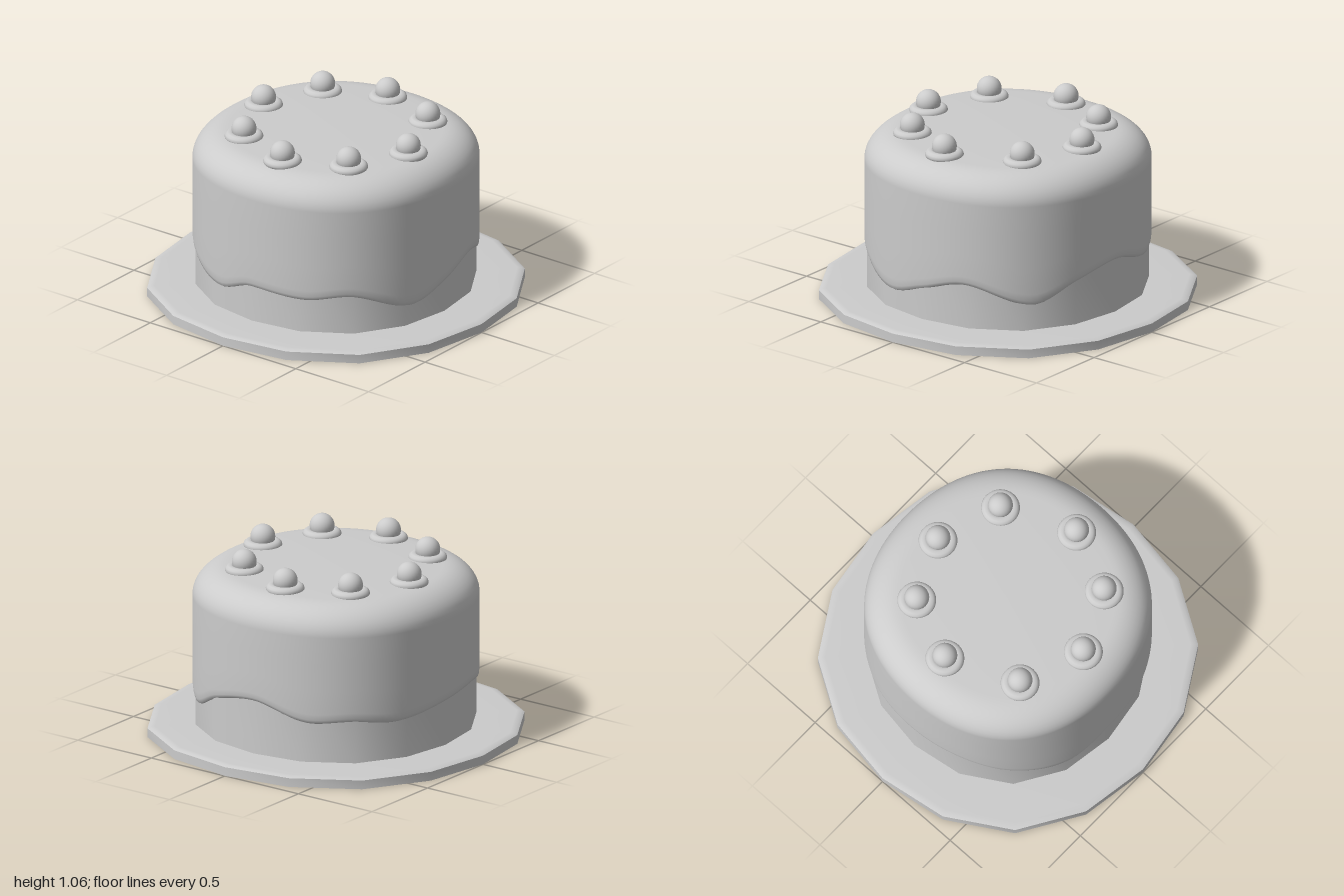
import * as THREE from 'three';
import { mergeVertices, toCreasedNormals } from 'three/addons/utils/BufferGeometryUtils.js';

const material = new THREE.MeshStandardMaterial({ color: 0xcccccc });
const SIDES = 16;

// Lathe with a slightly squarish outline; lift(y, angle) may move points up or down
function roundedLathe(points, segments, lift = (y) => y) {
  const geometry = new THREE.LatheGeometry(points.map(([r, y]) => new THREE.Vector2(r, y)), segments);
  const pos = geometry.attributes.position;
  for (let i = 0; i < pos.count; i++) {
    const x = pos.getX(i), z = pos.getZ(i);
    const angle = Math.atan2(x, z);
    const bulge = 1 + 0.0165 * (1 - Math.cos(4 * angle));
    pos.setXYZ(i, x * bulge, lift(pos.getY(i), angle), z * bulge);
  }
  geometry.deleteAttribute('uv');
  geometry.deleteAttribute('normal');
  return mergeVertices(geometry);
}

function part(name, geometry, parent) {
  const mesh = new THREE.Mesh(geometry, material);
  mesh.name = name;
  parent.add(mesh);
  return mesh;
}

// Height of the icing's wavy edge: [degrees from +z towards +x, y]
const EDGE = [
  [-180, 0.31], [-159, 0.33], [-135, 0.27], [-109, 0.19], [-90, 0.26], [-66, 0.245], [-48, 0.275], [-18.5, 0.17],
  [0, 0.235], [20, 0.305], [49, 0.205], [68, 0.305], [90, 0.36], [117, 0.28], [133, 0.295], [152, 0.272], [180, 0.31],
];

// Cubic Hermite through the edge points, wrapping round the cake
function edgeHeight(deg) {
  const n = EDGE.length - 1;
  const at = (i) => {
    const k = ((i % n) + n) % n;
    return [EDGE[k][0] + 360 * Math.floor(i / n), EDGE[k][1]];
  };
  let i = 0;
  while (i < n - 1 && EDGE[i + 1][0] <= deg) i++;
  const [a, b, c, d] = [at(i - 1), at(i), at(i + 1), at(i + 2)];
  const w = c[0] - b[0];
  const t = (deg - b[0]) / w;
  // Flat tangent at peaks and dips
  const slope = (p, q, r) => ((q[1] - p[1]) * (r[1] - q[1]) <= 0 ? 0 : (r[1] - p[1]) / (r[0] - p[0]));
  const m0 = slope(a, b, c) * w, m1 = slope(b, c, d) * w;
  const t2 = t * t, t3 = t2 * t;
  return (2 * t3 - 3 * t2 + 1) * b[1] + (t3 - 2 * t2 + t) * m0 + (3 * t2 - 2 * t3) * c[1] + (t3 - t2) * m1;
}

// Rounded icing shell; its wall is stretched down to the wavy edge
function icingGeometry() {
  const wallTop = 0.78, nominal = 0.25;
  const profile = [
    [0.72, 0.262], [0.735, 0.25], [0.746, 0.256], [0.752, 0.275], [0.756, 0.31],
    [0.756, 0.45], [0.756, 0.62], [0.756, wallTop],
  ];
  for (let i = 1; i <= 10; i++) {
    const a = (i / 10) * Math.PI / 2;
    profile.push([0.566 + 0.19 * Math.cos(a), wallTop + 0.16 * Math.sin(a)]);
  }
  profile.push([0.45, 0.945], [0.25, 0.949], [0, 0.95]);

  const geometry = roundedLathe(profile, 128, (y, angle) => {
    if (y >= wallTop) return y;
    const edge = edgeHeight(THREE.MathUtils.radToDeg(angle));
    return edge + (y - nominal) * (wallTop - edge) / (wallTop - nominal);
  });
  geometry.computeVertexNormals();
  return geometry;
}

export function createModel() {
  const cake = new THREE.Group();
  cake.name = 'cake';

  // Sixteen-sided plate: a thin sheet with a turned-down rim, open in the middle
  part('plate', toCreasedNormals(roundedLathe([
    [0.74, 0.06], [0.74, 0.045], [0.965, 0.045], [0.98, 0], [1, 0], [1, 0.05], [0.985, 0.058], [0.96, 0.06], [0.74, 0.06],
  ], SIDES), 0.8), cake);

  // Sponge seen below the icing, closed underneath
  part('sponge', toCreasedNormals(roundedLathe([
    [0, 0.05], [0.745, 0.05], [0.745, 0.5], [0, 0.5],
  ], SIDES), 0.8), cake);

  part('icing', icingGeometry(), cake);

  // Ring of cherries, each sitting on a swirl of cream
  const creamGeometry = new THREE.TorusGeometry(0.075, 0.031, 12, 32).rotateX(Math.PI / 2).scale(1, 0.85, 1);
  const cherryGeometry = new THREE.SphereGeometry(0.068, 24, 16);
  const spots = [
    [0.003, -0.5], [0.343, -0.358], [0.493, -0.027], [0.373, 0.342],
    [-0.027, 0.518], [-0.367, 0.372], [-0.523, 0.038], [-0.393, -0.327],
  ];
  for (const [x, z] of spots) {
    const topping = new THREE.Group();
    topping.name = 'topping';
    topping.position.set(x, 0.945, z);
    part('cream', creamGeometry, topping);
    part('cherry', cherryGeometry, topping).position.y = 0.045;
    cake.add(topping);
  }
  return cake;
}
